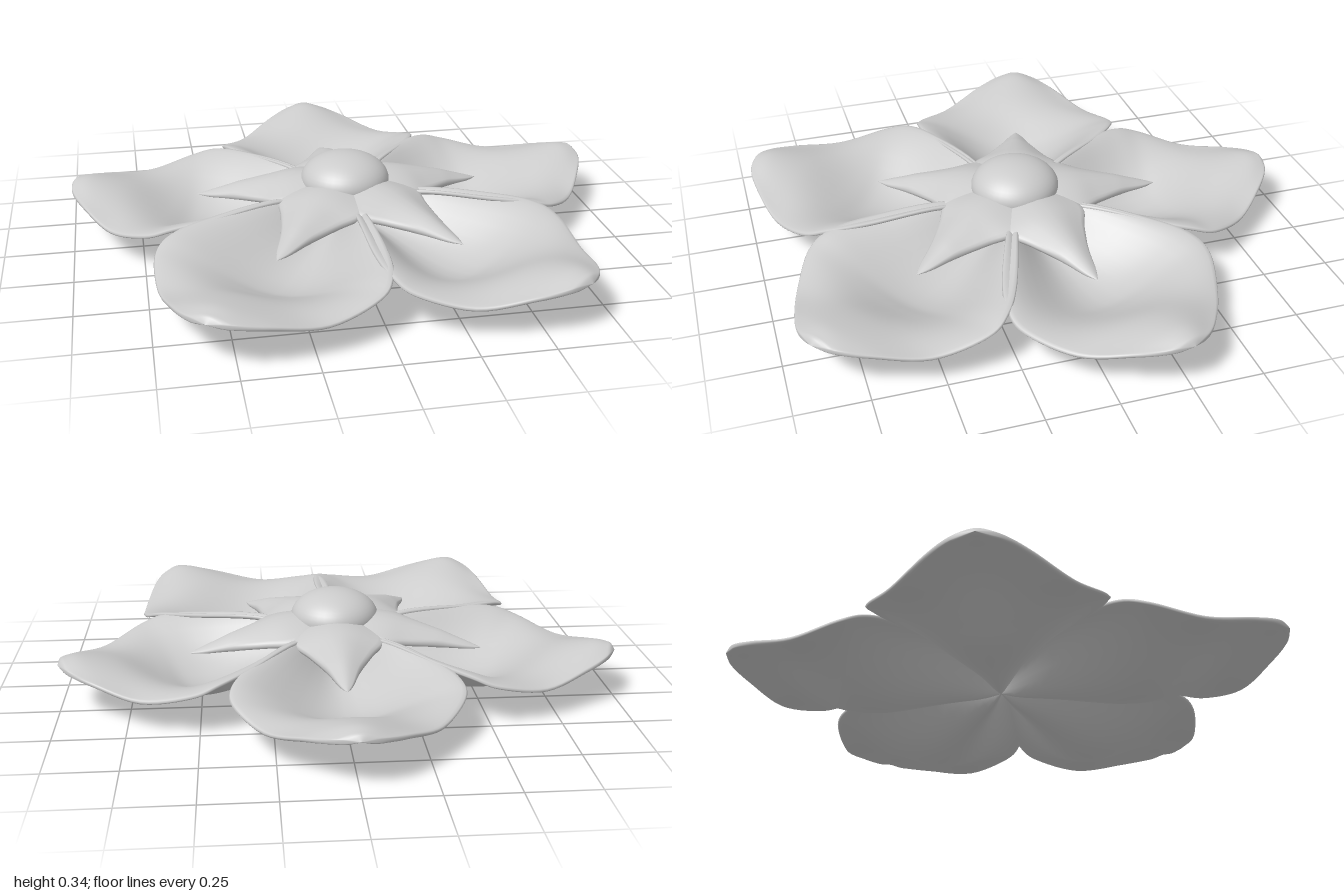
import * as THREE from 'three';

// Each row of a leaf: half width, distance from the flower axis, midrib height, edge height
const PETAL = [
  [0.01, 0, 0.105, 0.135], [0.165, 0.2, 0.065, 0.2], [0.325, 0.42, 0.018, 0.19],
  [0.39, 0.55, 0.022, 0.175], [0.388, 0.65, 0.065, 0.145], [0.29, 0.8, 0.145, 0.112],
  [0.165, 0.93, 0.182, 0.145], [0.08, 0.995, 0.18, 0.165], [0, 1.02, 0.172, 0.172],
];
const SEPAL = [
  [0.03, 0, 0.235, 0.225], [0.12, 0.12, 0.235, 0.215], [0.165, 0.21, 0.23, 0.195],
  [0.115, 0.3, 0.21, 0.18], [0.06, 0.41, 0.18, 0.165], [0.025, 0.51, 0.155, 0.15],
  [0, 0.56, 0.145, 0.145],
];

// Closed, rounded leaf swept along +z from a table of rows
function leafGeometry(rows, thickness, steps, sides) {
  const outline = new THREE.SplineCurve(rows.map(r => new THREE.Vector2(r[0], r[1])));
  const heights = new THREE.SplineCurve(rows.map(r => new THREE.Vector2(r[2], r[3])));
  const positions = [], index = [];
  for (let i = 0; i <= steps; i++) {
    const { x: w, y: s } = outline.getPoint(i / steps);
    const { x: mid, y: edge } = heights.getPoint(i / steps);
    const th = thickness * Math.min(1, Math.max(w, 0) / 0.06);
    for (let j = 0; j < sides; j++) {
      const a = (j / sides) * Math.PI * 2;
      const v = Math.cos(a), sn = Math.sin(a);
      // Channel section that levels out at the rims
      const lift = mid + (edge - mid) * v * v * (2 - v * v);
      positions.push(w * v, lift + th * Math.sign(sn) * Math.sqrt(Math.abs(sn)), s);
      if (i < steps) {
        const p = i * sides + j, q = i * sides + (j + 1) % sides;
        index.push(p, q, p + sides, q, q + sides, p + sides);
      }
    }
  }
  const g = new THREE.BufferGeometry();
  g.setAttribute('position', new THREE.Float32BufferAttribute(positions, 3));
  g.setIndex(index);
  g.computeVertexNormals();
  return g;
}

export function createModel() {
  const flower = new THREE.Group();
  flower.name = 'flower';
  const material = new THREE.MeshStandardMaterial({ color: 0xcccccc, side: THREE.DoubleSide });

  // Ring of leaves: one [heading in degrees, size] pair per leaf
  const addRing = (name, geometry, leaves) => {
    const ring = new THREE.Group();
    ring.name = name + 's';
    for (const [heading, size] of leaves) {
      const leaf = new THREE.Mesh(geometry, material);
      leaf.name = name;
      leaf.rotation.y = THREE.MathUtils.degToRad(heading);
      leaf.scale.set(size, 1, size);
      ring.add(leaf);
    }
    flower.add(ring);
  };

  // Five broad petals, cupped near the root and arched toward the tip
  addRing('petal', leafGeometry(PETAL, 0.015, 48, 40),
    [[180, 1], [106.5, 1.02], [-106.5, 1.02], [36.5, 1.05], [-33.5, 1.055]]);

  // Five pointed inner leaves forming a star
  addRing('sepal', leafGeometry(SEPAL, 0.02, 32, 24),
    [[180, 1], [104, 1], [-107, 1], [36, 1], [-35, 1]]);

  // Flattened round centre
  const centre = new THREE.Mesh(new THREE.SphereGeometry(0.163, 40, 24), material);
  centre.name = 'centre';
  centre.scale.y = 0.61;
  centre.position.y = 0.235;
  flower.add(centre);

  // The flower's axis sits slightly forward of the middle
  flower.children.forEach(part => { part.position.z = 0.05; });
  return flower;
}
